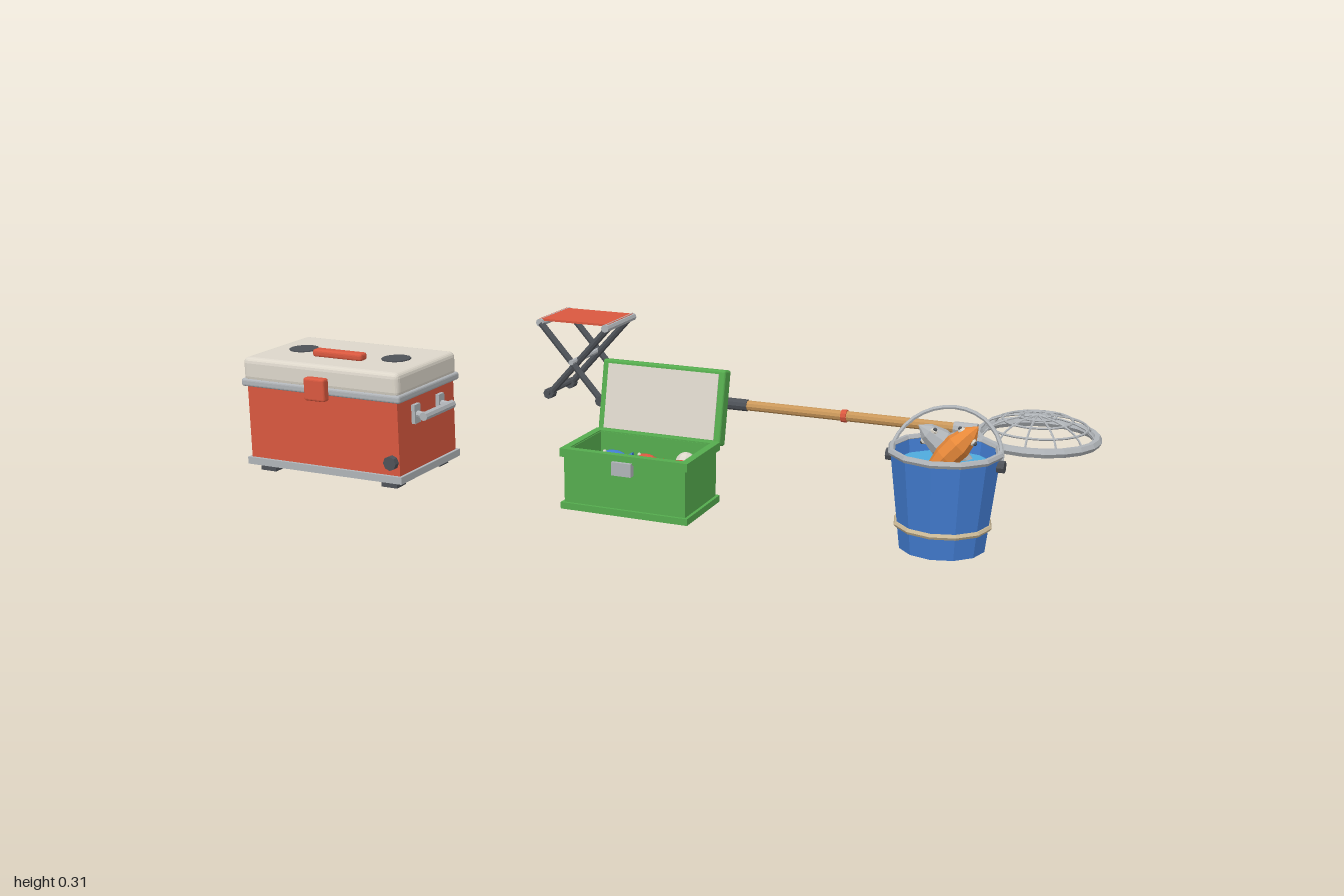
import * as THREE from 'three';
import { RoundedBoxGeometry } from 'three/addons/geometries/RoundedBoxGeometry.js';

const V = (x, y, z) => new THREE.Vector3(x, y, z);
const UP = V(0, 1, 0);

export function createModel() {
  const mat = (name, color) => {
    const m = new THREE.MeshStandardMaterial({ color, flatShading: true });
    m.name = name;
    return m;
  };
  const red = mat('red', 0xd9583f), cream = mat('cream', 0xdcd6ca), grey = mat('grey', 0xb0b4b8);
  const dark = mat('charcoal', 0x4e5258), green = mat('green', 0x55ac4e), blue = mat('blue', 0x427cd0);
  const wood = mat('wood', 0xc9975a), orange = mat('orange', 0xe8893a), water = mat('water', 0x4fabdc);
  const tan = mat('tan', 0xcdbb98);

  // helpers
  const model = new THREE.Group();
  const group = (name, x = 0, y = 0, z = 0, parent = model) => {
    const g = new THREE.Group();
    g.name = name;
    g.position.set(x, y, z);
    parent.add(g);
    return g;
  };
  const add = (parent, name, geo, m, x = 0, y = 0, z = 0) => {
    const o = new THREE.Mesh(geo, m);
    o.name = name;
    o.position.set(x, y, z);
    parent.add(o);
    return o;
  };
  const box = (p, name, m, w, h, d, x, y, z) => add(p, name, new THREE.BoxGeometry(w, h, d), m, x, y, z);
  const round = (p, name, m, w, h, d, r, x, y, z) =>
    add(p, name, new RoundedBoxGeometry(w, h, d, 2, r), m, x, y, z);
  const bar = (p, name, m, a, b, r, sides = 8) => {
    const dir = b.clone().sub(a), c = a.clone().add(b).multiplyScalar(0.5);
    const o = add(p, name, new THREE.CylinderGeometry(r, r, dir.length(), sides), m, c.x, c.y, c.z);
    o.quaternion.setFromUnitVectors(UP, dir.normalize());
    return o;
  };
  const ring = (p, name, m, R, r, y, sides = 12, x = 0, z = 0) => {
    const o = add(p, name, new THREE.TorusGeometry(R, r, 6, sides), m, x, y, z);
    o.rotation.x = Math.PI / 2;
    return o;
  };

  // cool box
  const cooler = group('coolBox', -0.735, 0, 0.445);
  box(cooler, 'body', red, 0.44, 0.218, 0.26, 0, 0.126, 0);
  round(cooler, 'lidRim', grey, 0.465, 0.02, 0.28, 0.006, 0, 0.231, 0);
  round(cooler, 'lid', cream, 0.455, 0.062, 0.274, 0.014, 0, 0.264, 0);
  for (const s of [-1, 1]) {
    box(cooler, 'baseTrimSide', grey, 0.012, 0.018, 0.276, s * 0.222, 0.027, 0);
    box(cooler, 'baseTrimEnd', grey, 0.432, 0.018, 0.012, 0, 0.027, s * 0.132);
    for (const t of [-1, 1]) box(cooler, 'foot', dark, 0.045, 0.02, 0.04, s * 0.18, 0.01, t * 0.1);
    add(cooler, 'cupHolder', new THREE.CylinderGeometry(0.037, 0.037, 0.006, 12), dark, s * 0.138, 0.295, 0);
    box(cooler, 'hinge', dark, 0.065, 0.035, 0.016, s * 0.135, 0.222, -0.14);
    bar(cooler, 'handleBar', grey, V(s * 0.253, 0.175, -0.068), V(s * 0.253, 0.175, 0.068), 0.011);
    for (const t of [-1, 1]) {
      box(cooler, 'handlePlate', grey, 0.012, 0.048, 0.026, s * 0.224, 0.178, t * 0.056);
      bar(cooler, 'handlePost', grey, V(s * 0.22, 0.178, t * 0.056), V(s * 0.253, 0.175, t * 0.056), 0.009);
    }
  }
  round(cooler, 'lidHandle', red, 0.145, 0.02, 0.03, 0.007, 0, 0.303, 0.043);
  round(cooler, 'latch', red, 0.06, 0.058, 0.024, 0.006, 0, 0.238, 0.148);
  bar(cooler, 'drainPlug', dark, V(0.2, 0.07, 0.125), V(0.2, 0.07, 0.145), 0.018);

  // folding stool
  const stool = group('foldingStool', -0.512, 0, -0.436);
  box(stool, 'seat', red, 0.222, 0.006, 0.17, 0, 0.24, 0);
  for (const s of [-1, 1]) {
    bar(stool, 'seatBar', grey, V(s * 0.106, 0.232, -0.095), V(s * 0.106, 0.232, 0.095), 0.012);
    bar(stool, 'floorBar', dark, V(s * 0.09, 0.02, -0.09), V(s * 0.09, 0.02, 0.09), 0.008);
    for (const t of [-1, 1]) {
      const z = t * (s > 0 ? 0.088 : 0.068);
      bar(stool, 'leg', dark, V(s * 0.09, 0.015, z), V(-s * 0.105, 0.23, z), 0.01);
      bar(stool, 'foot', dark, V(s * 0.09, 0.016, z - 0.013), V(s * 0.09, 0.016, z + 0.013), 0.016);
    }
  }
  bar(stool, 'pivotBar', grey, V(0, 0.124, -0.106), V(0, 0.124, 0.106), 0.008);

  // tackle box: open body with a tray
  const tackle = group('tackleBox', 0.07, 0, 0.443);
  box(tackle, 'base', green, 0.325, 0.016, 0.198, 0, 0.008, 0);
  box(tackle, 'body', green, 0.31, 0.07, 0.184, 0, 0.048, 0);
  for (const s of [-1, 1]) {
    box(tackle, 'sideWall', green, 0.012, 0.064, 0.184, s * 0.149, 0.113, 0);
    box(tackle, 'endWall', green, 0.286, 0.064, 0.012, 0, 0.113, s * 0.086);
    box(tackle, 'sideRim', green, 0.018, 0.02, 0.198, s * 0.154, 0.138, 0);
    box(tackle, 'endRim', green, 0.29, 0.02, 0.018, 0, 0.138, s * 0.09);
  }
  box(tackle, 'latch', grey, 0.05, 0.032, 0.016, 0, 0.117, 0.1);
  bar(tackle, 'sideButton', dark, V(-0.15, 0.085, 0), V(-0.165, 0.085, 0), 0.012);
  const lid = group('tackleLid', 0, 0.135, -0.117, tackle);
  lid.rotation.x = -0.21;
  round(lid, 'lidShell', green, 0.322, 0.182, 0.038, 0.006, 0, 0.088, 0);
  box(lid, 'lidLining', cream, 0.29, 0.158, 0.006, 0, 0.09, 0.018);
  bar(lid, 'lidHandle', green, V(-0.05, 0.095, -0.03), V(0.05, 0.095, -0.03), 0.011);
  for (const s of [-1, 1]) box(lid, 'handlePost', green, 0.016, 0.018, 0.02, s * 0.045, 0.095, -0.022);

  // lures
  const lure = (m, tip, x, z, turn) => {
    const g = group('lure', x, 0.098, z, tackle);
    g.rotation.y = turn;
    add(g, 'lureBody', new THREE.SphereGeometry(1, 8, 6), m).scale.set(0.034, 0.016, 0.018);
    const tail = add(g, 'lureTail', new THREE.ConeGeometry(0.015, 0.026, 6), tip, 0.036, 0, 0);
    tail.rotation.z = Math.PI / 2;
    tail.scale.z = 0.8;
    add(g, 'lureEye', new THREE.SphereGeometry(0.005, 6, 4), cream, -0.02, 0.012, 0.005);
    ring(g, 'lureHook', grey, 0.008, 0.0022, -0.004, 8, -0.037);
  };
  lure(blue, blue, -0.092, -0.043, 0.15);
  lure(red, orange, -0.003, -0.043, -0.3);
  lure(red, red, -0.1, 0.038, 0.1);
  lure(orange, red, 0.0, 0.04, 0.35);
  lure(orange, orange, 0.098, 0.04, -0.25);
  for (const [m, a] of [[cream, 0], [red, Math.PI / 2]])
    add(tackle, 'float', new THREE.SphereGeometry(0.025, 10, 4, 0, Math.PI * 2, a, Math.PI / 2), m, 0.098, 0.105, -0.043)
      .rotation.x = -0.5;

  // bucket
  const bucket = group('bucket', 0.803, 0, 0.444);
  const profile = [[0, 0], [0.096, 0], [0.122, 0.22], [0.113, 0.22], [0.108, 0.18]];
  add(bucket, 'bucketWall', new THREE.LatheGeometry(profile.map(p => new THREE.Vector2(...p)), 12), blue);
  ring(bucket, 'rim', grey, 0.12, 0.008, 0.221);
  ring(bucket, 'band', tan, 0.103, 0.007, 0.056);
  add(bucket, 'waterSurface', new THREE.CylinderGeometry(0.109, 0.109, 0.004, 12), water, 0, 0.188, 0);
  const bail = group('bail', 0, 0.2, 0, bucket);
  bail.rotation.x = -0.63;
  add(bail, 'bailWire', new THREE.TorusGeometry(0.124, 0.005, 6, 16, Math.PI), grey);
  for (const s of [-1, 1]) bar(bucket, 'bailPivot', dark, V(s * 0.112, 0.198, 0), V(s * 0.132, 0.198, 0), 0.014);

  // fish, head along +y of their own group
  const fishProfile = [[0, -0.07], [0.012, -0.06], [0.026, -0.015], [0.028, 0.015], [0.018, 0.045], [0, 0.064]];
  const fish = (m, head, tail) => {
    const c = head.clone().add(tail).multiplyScalar(0.5), g = group('fish', c.x, c.y, c.z, bucket);
    g.quaternion.setFromUnitVectors(UP, head.clone().sub(tail).normalize());
    g.scale.setScalar(1.25);
    const body = add(g, 'fishBody', new THREE.LatheGeometry(fishProfile.map(p => new THREE.Vector2(...p)), 8), m);
    body.scale.x = 0.85;
    add(g, 'fishTail', new THREE.ConeGeometry(0.03, 0.04, 4), m, 0, -0.075, 0).scale.x = 0.3;
    add(g, 'fishFin', new THREE.ConeGeometry(0.018, 0.04, 4), m, 0, 0, -0.028).scale.x = 0.25;
    for (const s of [-1, 1]) {
      add(g, 'fishEye', new THREE.SphereGeometry(0.007, 6, 4), cream, s * 0.013, 0.038, 0.008);
      add(g, 'fishPupil', new THREE.SphereGeometry(0.004, 6, 4), dark, s * 0.018, 0.039, 0.009);
    }
  };
  fish(orange, V(0.075, 0.287, 0.0), V(-0.035, 0.165, 0.045));
  fish(grey, V(-0.062, 0.26, -0.025), V(0.043, 0.172, -0.065));

  // landing net: pole
  const net = group('landingNet', 0, 0.023, -0.4385);
  const pole = (name, m, x0, x1, r) => bar(net, name, m, V(x0, 0, 0), V(x1, 0, 0), r, 10);
  pole('endCap', red, -0.21, -0.194, 0.019);
  pole('grip', dark, -0.194, 0, 0.017);
  pole('pole', wood, 0, 0.61, 0.0145);
  pole('poleCollar', red, 0.282, 0.298, 0.018);
  pole('ferrule', grey, 0.603, 0.668, 0.018);

  // hoop and domed mesh
  const hoop = group('hoop', 0.829, 0, 0, net);
  ring(hoop, 'hoopFrame', grey, 0.158, 0.013, 0, 20);
  const dome = [[0.155, 0.005], [0.133, 0.03], [0.092, 0.048], [0.048, 0.057], [0, 0.06]];
  for (const [r, y] of dome.slice(1, 4)) ring(hoop, 'meshRing', grey, r, 0.0033, y, 24);
  for (let i = 0; i < 12; i++) {
    const a = i * Math.PI / 6;
    const path = new THREE.CatmullRomCurve3(dome.map(([r, y]) => V(r * Math.cos(a), y, r * Math.sin(a))));
    add(hoop, 'meshSpoke', new THREE.TubeGeometry(path, 8, 0.003, 5), grey);
  }
  return model;
}
